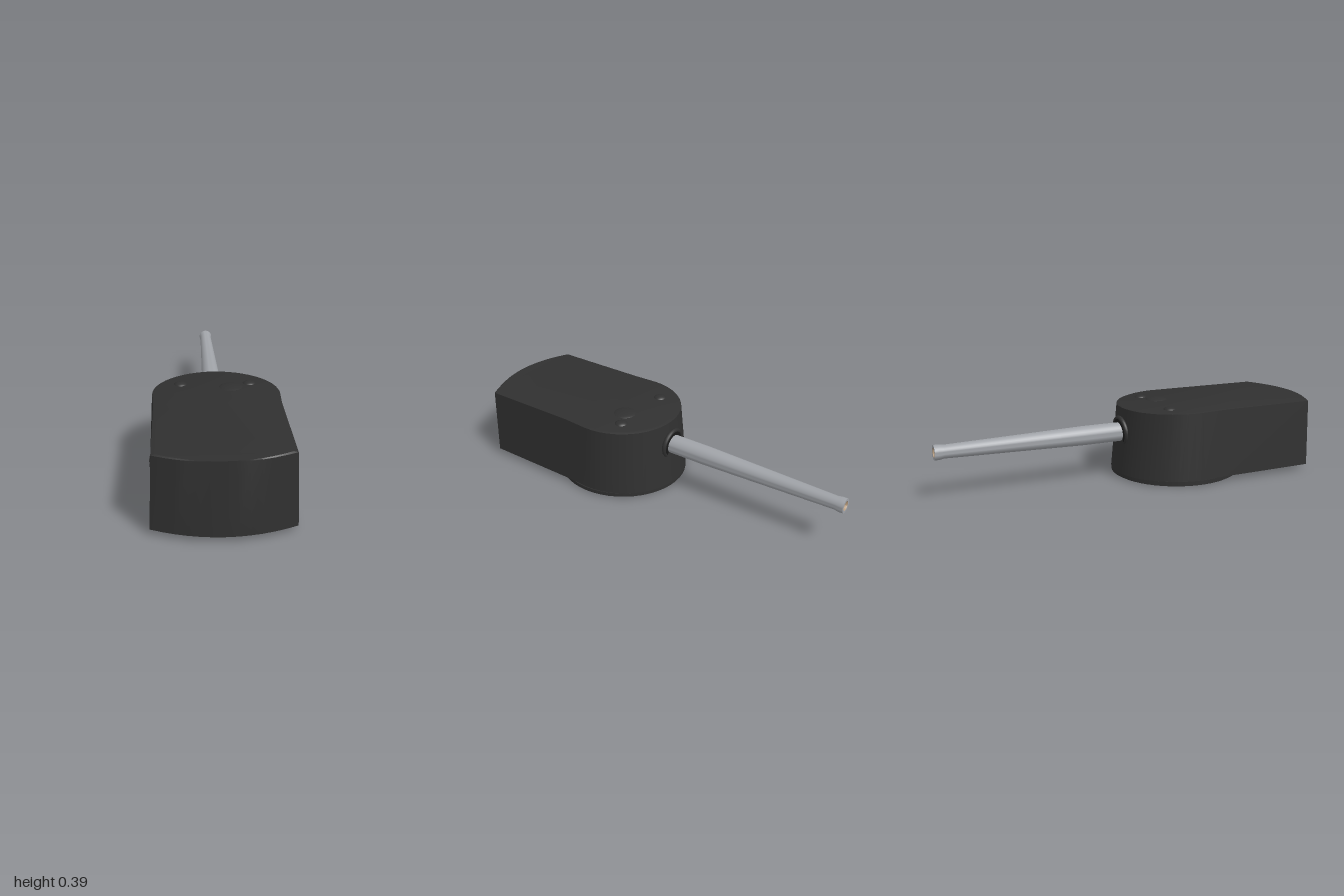
import * as THREE from 'three';
import { toCreasedNormals } from 'three/addons/utils/BufferGeometryUtils.js';

const mat = (name, color) => {
  const m = new THREE.MeshStandardMaterial({ color });
  m.name = name;
  return m;
};

// Plan outline of the turret: curved rear, straight sides, rounded nose.
function outline(rearX, sideX, noseX, noseZ) {
  const half = [];
  for (let i = 0; i <= 6; i++) {
    const t = i / 6;
    half.push([rearX * t, 1 - 0.075 * t * t]);
  }
  half.push([sideX, 0.42]);
  const cz = 0.28;
  for (let i = 0; i <= 12; i++) {
    const a = (i / 12) * Math.PI / 2;
    half.push([noseX * Math.cos(a), cz - (cz - noseZ) * Math.sin(a)]);
  }
  const mirrored = half.slice(1, -1).reverse().map(([x, z]) => [-x, z]);
  return half.concat(mirrored);
}

// Skin between stacked outlines, closed by a floor and a roof.
function loftGeometry(levels) {
  const v = [];
  const n = levels[0].pts.length;
  const at = (l, i) => {
    const [x, z] = levels[l].pts[i % n];
    return [x, levels[l].y(z), z];
  };
  const tri = (...p) => p.forEach((q) => v.push(...q));
  for (let l = 0; l < levels.length - 1; l++) {
    for (let i = 0; i < n; i++) {
      tri(at(l, i), at(l, i + 1), at(l + 1, i + 1));
      tri(at(l, i), at(l + 1, i + 1), at(l + 1, i));
    }
  }
  // caps as strips across the mirrored halves
  const top = levels.length - 1;
  for (let i = 0; i < n / 2; i++) {
    const j = (n - i) % n, k = n - i - 1;
    tri(at(top, i), at(top, i + 1), at(top, k));
    tri(at(top, i), at(top, k), at(top, j));
    tri(at(0, i), at(0, k), at(0, i + 1));
    tri(at(0, i), at(0, j), at(0, k));
  }
  const g = new THREE.BufferGeometry();
  g.setAttribute('position', new THREE.Float32BufferAttribute(v, 3));
  return toCreasedNormals(g, 0.45);
}

export function createModel() {
  const group = new THREE.Group();
  const armour = mat('dark armour', 0x303030);
  const shade = mat('black recess', 0x1a1a1a);
  const steel = mat('gun steel', 0xa0a3a8);
  const tan = mat('tan lining', 0xb59a7c);

  const add = (name, geo, material, x = 0, y = 0, z = 0) => {
    const m = new THREE.Mesh(geo, material);
    m.name = name;
    m.position.set(x, y, z);
    group.add(m);
    return m;
  };

  // Armoured house; the roof dips slightly toward the nose
  const dip = (z) => 0.008 * Math.max(0, Math.min(1, (0.35 - z) / 0.35));
  add('turretHouse', loftGeometry([
    { pts: outline(0.315, 0.32, 0.328, -0.062), y: () => 0.027 },
    { pts: outline(0.3, 0.3, 0.308, -0.03), y: (z) => 0.374 - dip(z) },
    { pts: outline(0.28, 0.287, 0.295, -0.012), y: (z) => 0.379 - dip(z) },
  ]), armour);

  // Turning ring under the house
  const cz = 0.285;
  const ring = (name, r, y0, y1, material) => {
    const m = add(name, new THREE.CylinderGeometry(r, r, y1 - y0, 48), material, 0, (y0 + y1) / 2, cz);
    m.scale.z = 1.035;
  };
  ring('turningRing', 0.333, 0.008, 0.028, armour);
  ring('ringLining', 0.321, 0.004, 0.008, tan);
  ring('ringBase', 0.319, 0, 0.004, armour);

  // Roof domes: [x, z, radius, top]
  for (const [x, z, r, top] of [[-0.17, 0.16, 0.03, 0.386], [0.17, 0.16, 0.03, 0.386], [0.075, 0.21, 0.056, 0.385]]) {
    const base = 0.368;
    const dome = add('roofDome', new THREE.SphereGeometry(1, 24, 8, 0, Math.PI * 2, 0, Math.PI / 2), armour, x, base, z);
    dome.scale.set(r * 1.15, top - base, r * 1.15);
  }

  // Gun port around the barrel
  const port = new THREE.Group();
  port.name = 'gunPort';
  port.position.set(0, 0.24, -0.036);
  port.rotation.x = -0.09;
  const rim = new THREE.Mesh(new THREE.TorusGeometry(0.072, 0.012, 8, 32), armour);
  rim.name = 'portRim';
  const recess = new THREE.Mesh(new THREE.CylinderGeometry(0.07, 0.07, 0.02, 32), shade);
  recess.name = 'portRecess';
  recess.rotation.x = Math.PI / 2;
  port.add(rim, recess);
  group.add(port);

  // Barrel, turned about its axis: [radius, distance forward]
  const turn = (name, pts, material) => {
    const g = new THREE.LatheGeometry(pts.map(([r, d]) => new THREE.Vector2(r, d)), 32);
    add(name, toCreasedNormals(g, 0.5), material, 0, 0.24, 0).rotation.x = -Math.PI / 2;
  };
  turn('barrel', [[0.049, 0], [0.049, 0.25], [0.046, 0.38], [0.033, 0.955], [0.037, 0.975], [0.037, 1], [0.024, 1]], steel);
  turn('bore', [[0.024, 1], [0.02, 0.99], [0.02, 0.95], [0, 0.95]], tan);

  return group;
}
